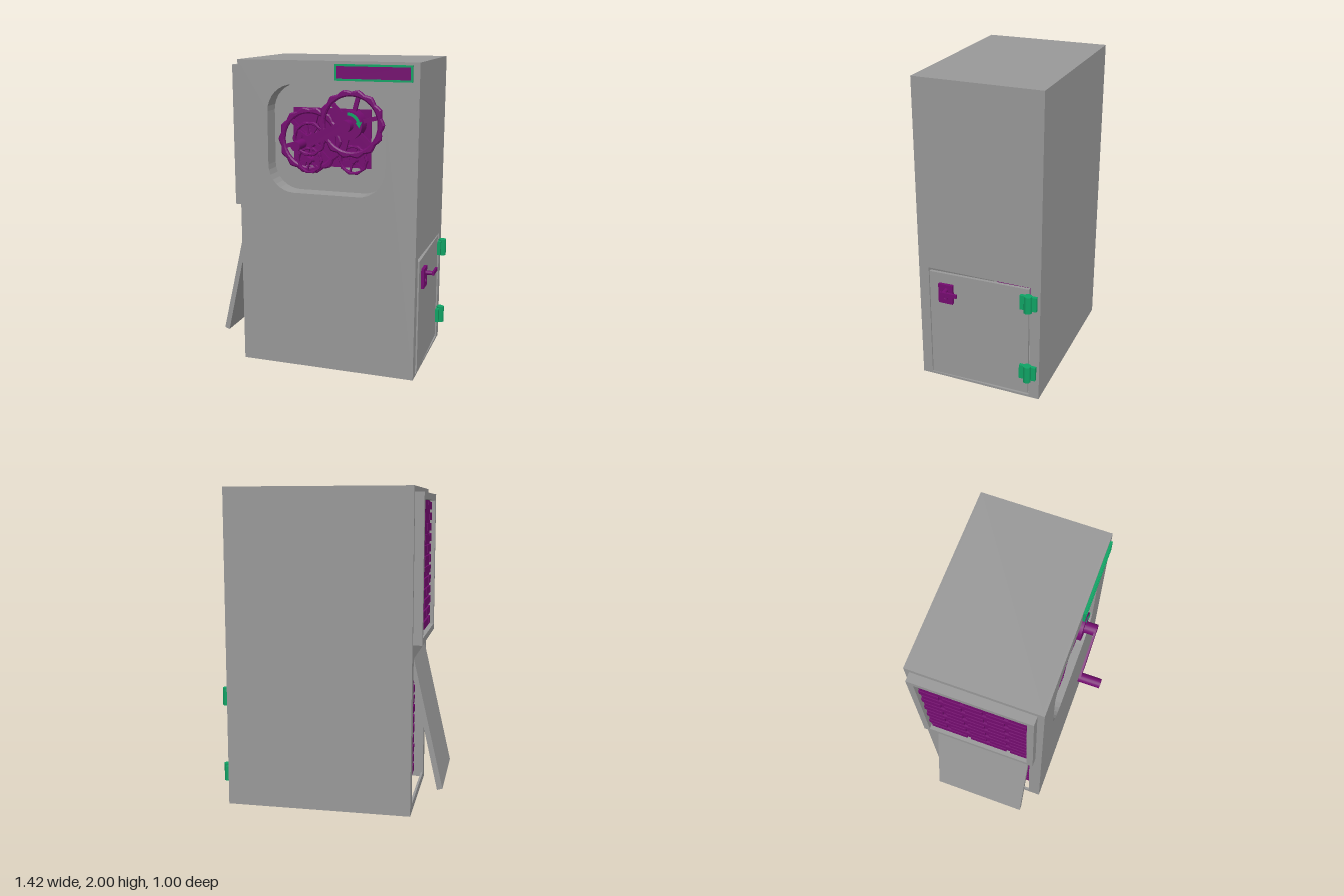
import * as THREE from 'three';

const grey = new THREE.MeshStandardMaterial({ color: 0x999999, name: 'cabinet grey', side: THREE.DoubleSide });
const purple = new THREE.MeshStandardMaterial({ color: 0x750c70, name: 'mechanism purple' });
const green = new THREE.MeshStandardMaterial({ color: 0x10a465, name: 'fitting green' });

export function createModel() {
  const model = new THREE.Group();
  model.name = 'crankCabinet';

  function add(name, geo, mat, parent = model) {
    const m = new THREE.Mesh(geo, mat);
    m.name = name;
    parent.add(m);
    return m;
  }
  // Box given by its limits on each axis
  function box(name, mat, x0, x1, y0, y1, z0, z1, parent) {
    const m = add(name, new THREE.BoxGeometry(x1 - x0, y1 - y0, z1 - z0), mat, parent);
    m.position.set((x0 + x1) / 2, (y0 + y1) / 2, (z0 + z1) / 2);
    return m;
  }
  // Round bar along z
  function rod(name, mat, x, y, z0, z1, rBack, rFront = rBack, sides = 20, parent) {
    const geo = new THREE.CylinderGeometry(rFront, rBack, z1 - z0, sides).rotateX(Math.PI / 2);
    const m = add(name, geo, mat, parent);
    m.position.set(x, y, (z0 + z1) / 2);
    return m;
  }
  function rect(a0, a1, b0, b1, Type = THREE.Shape) {
    return new Type([[a0, b0], [a1, b0], [a1, b1], [a0, b1]].map(p => new THREE.Vector2(...p)));
  }
  function roundedRect(x0, x1, y0, y1, r, Type = THREE.Shape) {
    const s = new Type();
    s.absarc(x1 - r, y1 - r, r, 0, Math.PI / 2);
    s.absarc(x0 + r, y1 - r, r, Math.PI / 2, Math.PI);
    s.absarc(x0 + r, y0 + r, r, Math.PI, Math.PI * 1.5);
    s.absarc(x1 - r, y0 + r, r, Math.PI * 1.5, Math.PI * 2);
    return s;
  }
  function extrude(shape, depth, curveSegments = 4) {
    return new THREE.ExtrudeGeometry(shape, { depth, curveSegments, bevelEnabled: false });
  }
  // Wall drawn in (z, y), its outer or inner face at x and its thickness towards -x
  function sideWall(name, x, thick, outer, hole) {
    const s = rect(...outer);
    s.holes.push(rect(...hole, THREE.Path));
    add(name, extrude(s, thick).rotateY(-Math.PI / 2), grey).position.x = x;
  }

  // Hollow cabinet
  const T = 0.014;
  const front = rect(-0.525, 0.63, 0.02, 2);
  front.holes.push(roundedRect(-0.33, 0.43, 1.18, 1.855, 0.17, THREE.Path));
  add('frontWall', extrude(front, T), grey).position.z = 0.3 - T;
  box('backWall', grey, -0.525, 0.63, 0.02, 2, -0.5, -0.5 + T);
  box('roof', grey, -0.525 + T, 0.63 - T, 2 - T, 2, -0.5 + T, 0.3 - T);
  sideWall('rightWall', 0.63, T, [-0.5 + T, 0.3 - T, 0.02, 2], [-0.435, 0.235, 0.035, 0.8]);
  sideWall('leftWall', -0.525 + T, T, [-0.5 + T, 0.3 - T, 0.02, 2], [-0.42, 0.22, 0.07, 0.98]);
  box('bottomPlate', grey, -0.3, 0.61, 0.024, 0.044, -0.47, 0.26);

  // Recess behind the front window
  const liner = roundedRect(-0.345, 0.445, 1.165, 1.87, 0.185);
  liner.holes.push(roundedRect(-0.33, 0.43, 1.18, 1.855, 0.17, THREE.Path));
  add('recessWall', extrude(liner, 0.12 - T), grey).position.z = 0.18;
  box('recessBack', grey, -0.345, 0.445, 1.165, 1.87, 0.17, 0.18);

  // Foot rails
  for (const z of [-0.32, 0.155]) {
    const geo = new THREE.CapsuleGeometry(0.017, 0.3, 4, 8).rotateZ(Math.PI / 2);
    add('footRail', geo, green).position.set(0.105, 0.017, z);
  }

  // Wheels with a wavy rim, spokes and a hub
  function gear(name, x, y, z, r, teeth, spokes, depth) {
    const g = new THREE.Group();
    g.name = name;
    g.position.set(x, y, z);
    const pts = [];
    for (let i = 0; i < teeth * 4; i++) {
      const a = i / (teeth * 4) * Math.PI * 2;
      const rr = r * (0.965 + 0.035 * Math.cos(a * teeth));
      pts.push(new THREE.Vector2(rr * Math.cos(a), rr * Math.sin(a)));
    }
    const rim = new THREE.Shape(pts);
    const inner = new THREE.Path();
    inner.absarc(0, 0, r * 0.8, 0, Math.PI * 2);
    rim.holes.push(inner);
    const geo = new THREE.ExtrudeGeometry(rim, {
      depth: depth * 0.6, curveSegments: 20, bevelSize: r * 0.04, bevelOffset: -r * 0.04,
      bevelThickness: depth * 0.2, bevelSegments: 1,
    });
    add(name + 'Rim', geo, purple, g).position.z = depth * 0.2;
    for (let i = 0; i < spokes; i++) {
      const a = (i + 0.25) / spokes * Math.PI * 2;
      const s = add(name + 'Spoke', new THREE.BoxGeometry(r * 0.85, r * 0.12, depth * 0.6), purple, g);
      s.position.set(Math.cos(a) * r * 0.43, Math.sin(a) * r * 0.43, depth / 2);
      s.rotation.z = a;
    }
    rod(name + 'Hub', purple, 0, 0, 0, depth * 1.2, r * 0.32, r * 0.2, 16, g);
    model.add(g);
  }
  box('mechanismPlate', purple, -0.2, 0.31, 1.34, 1.705, 0.18, 0.19);
  gear('leftWheel', -0.08, 1.505, 0.2, 0.21, 14, 6, 0.03);
  gear('rightWheel', 0.2, 1.62, 0.235, 0.212, 14, 6, 0.035);
  gear('leftPinion', -0.07, 1.52, 0.24, 0.11, 10, 8, 0.03);
  gear('lowerRightPinion', 0.205, 1.395, 0.2, 0.095, 10, 6, 0.03);
  gear('lowerLeftPinion', -0.07, 1.385, 0.235, 0.085, 10, 6, 0.03);

  // Crank
  const hub = [0.197, 1.62], grip = [-0.072, 1.508];
  rod('crankCollar', purple, ...hub, 0.2, 0.307, 0.088, 0.088, 24);
  rod('crankShaft', purple, ...hub, 0.3, 0.38, 0.036);
  const dx = grip[0] - hub[0], dy = grip[1] - hub[1], len = Math.hypot(dx, dy);
  const arm = add('crankArm', extrude(roundedRect(-0.034, len + 0.03, -0.032, 0.032, 0.031), 0.012), purple);
  arm.position.set(...hub, 0.368);
  arm.rotation.z = Math.atan2(dy, dx);
  rod('crankGrip', purple, ...grip, 0.375, 0.5, 0.029);

  // Turning arrow on the collar
  const arrow = new THREE.Shape();
  arrow.absarc(0, 0, 0.078, 0.25, 1.6, false);
  arrow.absarc(0, 0, 0.06, 1.6, 0.25, true);
  add('arrowArc', extrude(arrow, 0.004, 10), green).position.set(...hub, 0.307);
  const head = new THREE.Shape([[0.048, 0.018], [0.072, -0.015], [0.088, 0.024]].map(p => new THREE.Vector2(...p)));
  add('arrowHead', extrude(head, 0.004), green).position.set(...hub, 0.307);

  // Sign above the window
  const sign = rect(0.11, 0.59, 1.885, 1.983);
  sign.holes.push(rect(0.122, 0.578, 1.897, 1.971, THREE.Path));
  add('signFrame', extrude(sign, 0.015), green).position.z = 0.3;
  box('signPanel', purple, 0.122, 0.578, 1.897, 1.971, 0.3, 0.307);

  // Staggered slat grilles on the left side
  function grille(name, x, y0, y1, z0, z1, rows) {
    box(name + 'Backing', purple, x, x + 0.01, y0, y1, z0, z1);
    const h = (y1 - y0) / rows, w = (z1 - z0) / 2.5;
    for (let r = 0; r < rows; r++) {
      for (let k = -1; k < 3; k++) {
        const a = Math.max(z0, z0 + (k + (r % 2) / 2) * w + 0.012);
        const b = Math.min(z1, z0 + (k + 1 + (r % 2) / 2) * w - 0.012);
        if (b - a < 0.02) continue;
        box(name + 'Slat', purple, x - 0.012, x, y0 + (r + 0.14) * h, y0 + (r + 0.86) * h, a, b);
      }
    }
  }
  sideWall('grilleFrame', -0.525, 0.055, [-0.47, 0.26, 1.07, 1.965], [-0.43, 0.22, 1.11, 1.925]);
  grille('upperGrille', -0.545, 1.11, 1.925, -0.43, 0.22, 12);
  grille('lowerGrille', -0.45, 0.07, 0.98, -0.43, 0.23, 13);

  // Open flap under the grille
  const flap = new THREE.Shape([[-0.52, 1.0], [-0.71, 0.18], [-0.677, 0.17], [-0.5, 0.96]].map(p => new THREE.Vector2(...p)));
  add('flap', extrude(flap, 0.625), grey).position.z = -0.41;

  // Door, slightly ajar, with its lock
  const door = new THREE.Group();
  door.name = 'door';
  door.position.set(0.623, 0, -0.43);
  door.rotation.y = 0.023;
  box('doorPanel', grey, -0.02, 0, 0.045, 0.782, 0.006, 0.655, door);
  model.add(door);
  box('lockPlate', purple, 0.634, 0.655, 0.585, 0.715, 0.065, 0.16);
  const knob = add('handleShaft', new THREE.CylinderGeometry(0.014, 0.014, 0.06, 12).rotateZ(Math.PI / 2), purple);
  knob.position.set(0.68, 0.68, 0.108);
  box('handleLever', purple, 0.697, 0.71, 0.668, 0.692, 0.012, 0.122);
  const keyRing = add('keyhole', new THREE.TorusGeometry(0.012, 0.003, 6, 12).rotateY(Math.PI / 2), purple);
  keyRing.position.set(0.656, 0.628, 0.11);

  // Hinges
  for (const y of [0.21, 0.702]) {
    box('hingeLeaf', green, 0.63, 0.652, y - 0.047, y + 0.047, -0.482, -0.375);
    const barrel = add('hingeBarrel', new THREE.CylinderGeometry(0.026, 0.026, 0.112, 8), green);
    barrel.position.set(0.655, y, -0.43);
  }
  return model;
}
